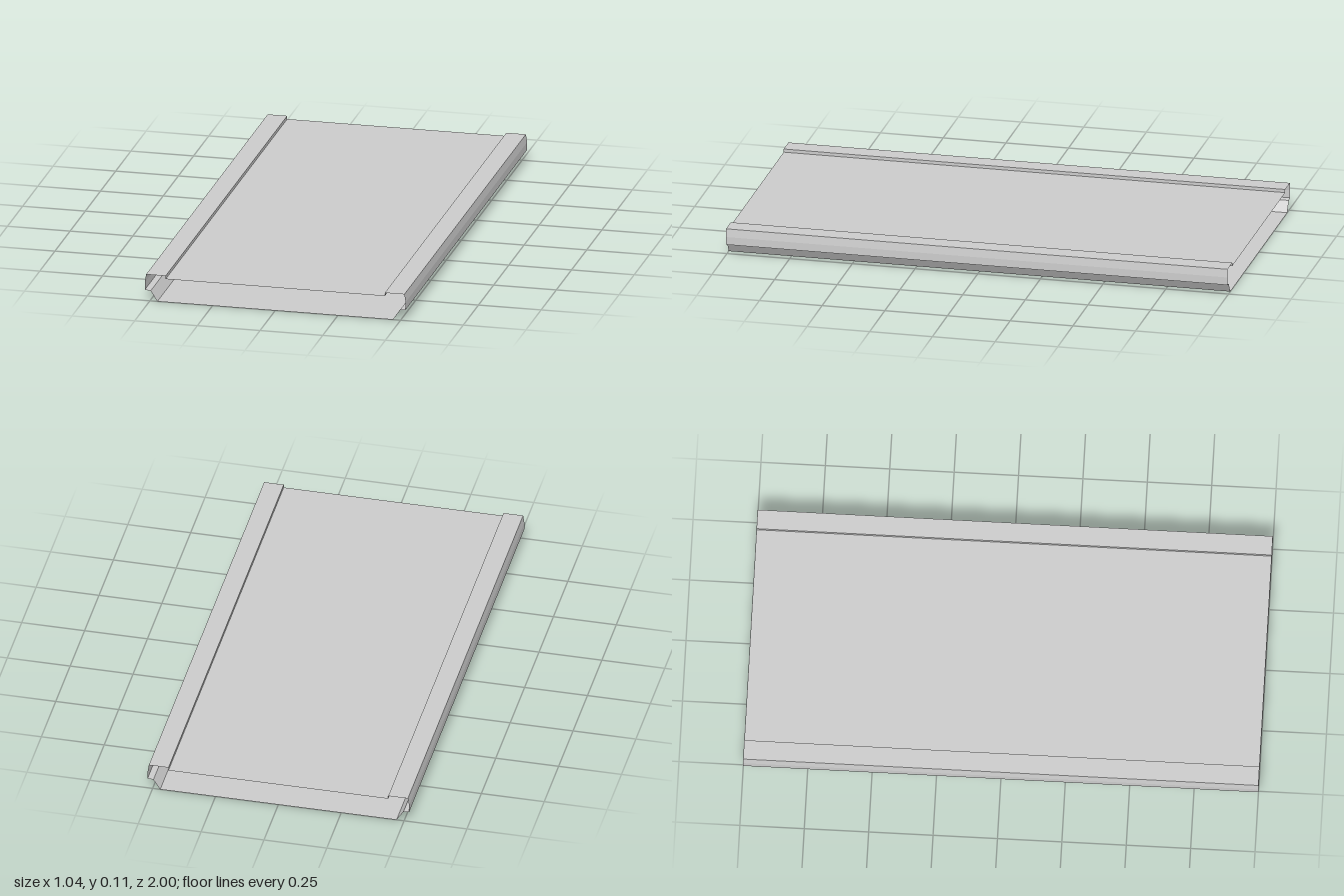
import * as THREE from 'three';

const LENGTH = 2;
const material = new THREE.MeshStandardMaterial({ color: 0xcccccc, side: THREE.DoubleSide, flatShading: true });

// Sweeps an open x-y profile straight along z as a thin sheet.
function sheet(name, profile) {
  const positions = [];
  const h = LENGTH / 2;
  for (let i = 0; i < profile.length - 1; i++) {
    const [ax, ay] = profile[i];
    const [bx, by] = profile[i + 1];
    positions.push(ax, ay, h, bx, by, h, bx, by, -h);
    positions.push(ax, ay, h, bx, by, -h, ax, ay, -h);
  }
  const geometry = new THREE.BufferGeometry();
  geometry.setAttribute('position', new THREE.Float32BufferAttribute(positions, 3));
  geometry.computeVertexNormals();
  const mesh = new THREE.Mesh(geometry, material);
  mesh.name = name;
  return mesh;
}

export function createModel() {
  const group = new THREE.Group();
  group.name = 'slab';

  // Edge section, from the recessed top panel over the rim to the base.
  const edge = [
    [0.437, 0.094], [0.437, 0.107], // step up to the rim
    [0.515, 0.107], [0.52, 0.075], [0.52, 0.044], // rim top and outer wall
    [0.497, 0.041], [0.47, 0], // lip and sloping underside
  ];
  // Reversing the mirrored side keeps its faces turned outward.
  group.add(sheet('leftEdge', [...edge].reverse()));
  group.add(sheet('rightEdge', edge.map(([x, y]) => [-x, y])));

  // Flat panels; the ends stay open.
  group.add(sheet('topPanel', [[-0.437, 0.094], [0.437, 0.094]]));
  group.add(sheet('bottomPanel', [[0.47, 0], [-0.47, 0]]));
  return group;
}
